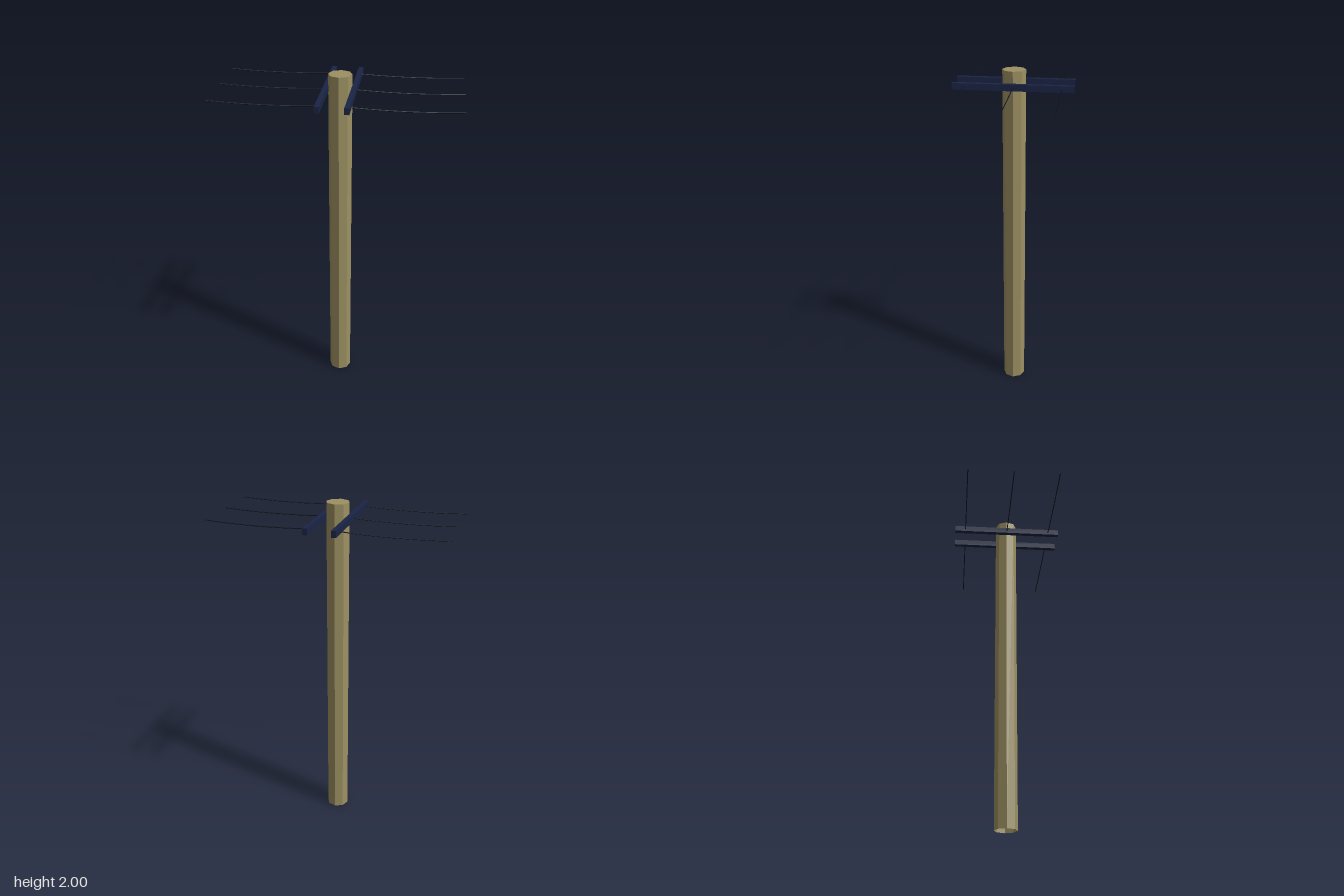
import * as THREE from 'three';

const material = (color, side = THREE.FrontSide) =>
  new THREE.MeshStandardMaterial({ color, flatShading: true, side });

export function createModel() {
  const model = new THREE.Group();
  model.name = 'utilityPole';
  const wood = material(0x9c9062, THREE.DoubleSide);
  const navy = material(0x1a2444);
  const black = material(0x0c1020, THREE.DoubleSide);

  const add = (name, geometry, mat, x = 0, y = 0, z = 0) => {
    const mesh = new THREE.Mesh(geometry, mat);
    mesh.name = name;
    mesh.position.set(x, y, z);
    model.add(mesh);
    return mesh;
  };

  // Eight-sided post, open underneath, with a flat cap
  const radius = 0.066;
  add('post', new THREE.CylinderGeometry(radius, radius, 2, 8, 1, true), wood, 0, 1, 0);
  const cap = new THREE.CircleGeometry(radius, 8).rotateX(-Math.PI / 2);
  add('postCap', cap, wood, 0, 2, 0);

  for (const [side, label] of [[1, 'left'], [-1, 'right']]) {
    // Crossarm running front to back beside the post
    add(`${label}Crossarm`, new THREE.BoxGeometry(0.026, 0.036, 0.666), navy, side * 0.077, 1.918, 0);

    // Three slightly sagging wires leading outward from the crossarm
    const path = new THREE.QuadraticBezierCurve3(
      new THREE.Vector3(side * 0.077, 1.916, 0),
      new THREE.Vector3(side * 0.36, 1.899, 0),
      new THREE.Vector3(side * 0.667, 1.916, 0)
    );
    const wire = new THREE.TubeGeometry(path, 6, 0.0028, 4);
    [-0.267, 0, 0.267].forEach((z, i) => add(`${label}Wire${i + 1}`, wire, black, 0, 0, z));
  }
  return model;
}
